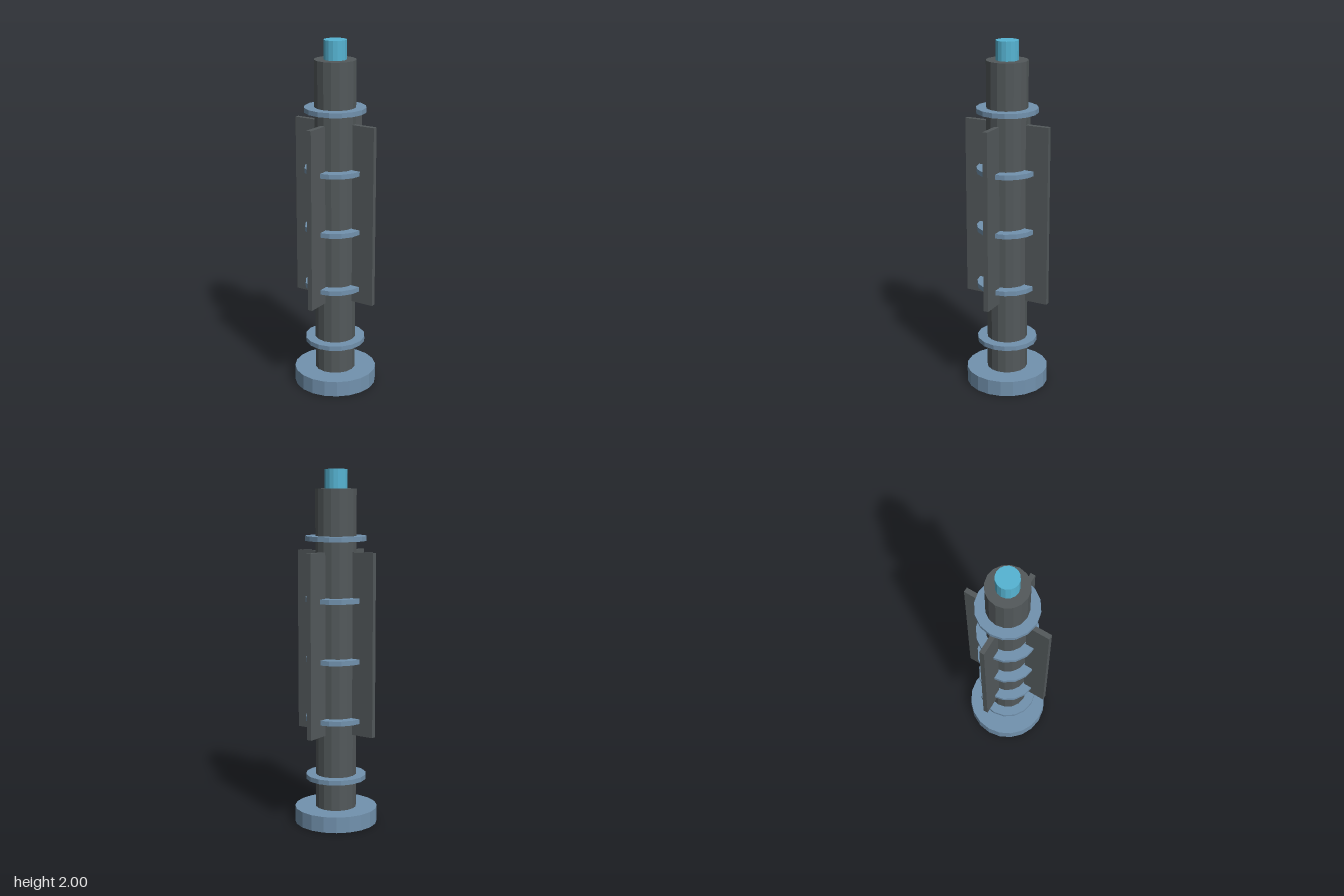
import * as THREE from 'three';

export function createModel() {
  const group = new THREE.Group();
  const paint = (name, color) => {
    const m = new THREE.MeshStandardMaterial({ color, flatShading: true });
    m.name = name;
    return m;
  };
  const steel = paint('steelBlue', 0x7292ae);
  const dark = paint('darkGrey', 0x53595b);
  const cyan = paint('cyan', 0x56b4d3);

  // Upright cylinder between two heights
  const disc = (name, radius, y0, y1, sides, material) => {
    const mesh = new THREE.Mesh(new THREE.CylinderGeometry(radius, radius, y1 - y0, sides), material);
    mesh.position.y = (y0 + y1) / 2;
    mesh.name = name;
    group.add(mesh);
  };

  // Base, shaft and glowing tip
  disc('base', 0.235, 0, 0.09, 20, steel);
  disc('shaft', 0.116, 0.09, 1.894, 16, dark);
  disc('tip', 0.063, 1.894, 2, 16, cyan);

  // Evenly spaced collars
  for (let i = 0; i < 5; i++) {
    const y = 0.268 + i * 0.3385;
    disc('collar' + (i + 1), 0.172, y - 0.0135, y + 0.0135, 16, steel);
  }

  // Four long fins around the shaft
  const finGeometry = new THREE.BoxGeometry(0.135, 1.026, 0.028);
  finGeometry.translate(0.1885, 1.037, 0);
  for (let i = 0; i < 4; i++) {
    const fin = new THREE.Mesh(finGeometry, dark);
    fin.rotation.y = (i * Math.PI) / 2;
    fin.name = 'fin' + (i + 1);
    group.add(fin);
  }

  return group;
}
